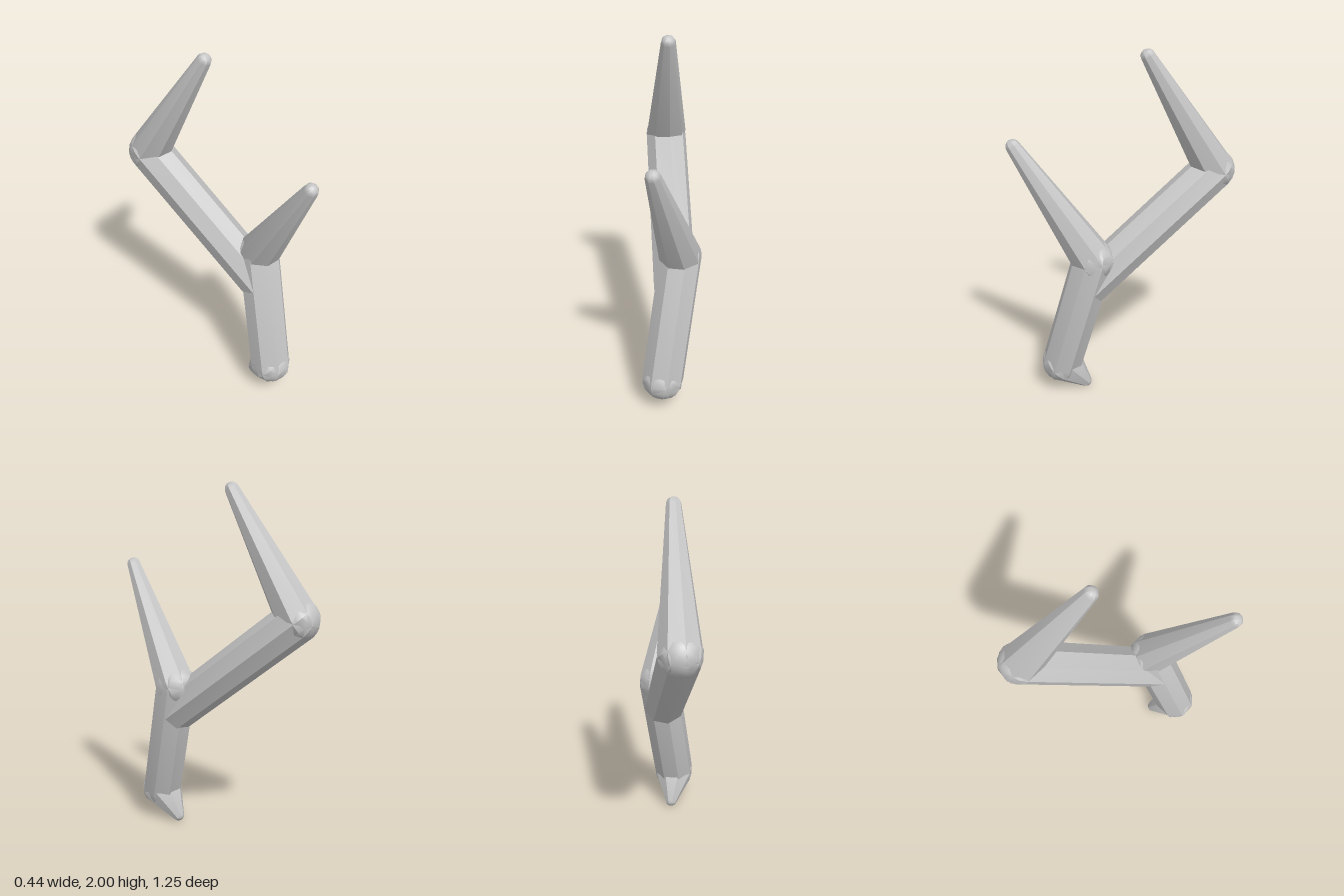
import * as THREE from 'three';
import { toCreasedNormals } from 'three/addons/utils/BufferGeometryUtils.js';

const SIDES = 8;
const CAP_STEPS = 5;

// Eight-sided rounded limb from a to b, tapering from radius r0 to r1
function limb(name, a, b, r0, r1, material) {
  const start = new THREE.Vector3(...a);
  const axis = new THREE.Vector3(...b).sub(start);
  const length = axis.length();
  const lean = Math.asin((r0 - r1) / length);
  const profile = [];
  const arc = (r, y, from, to) => {
    for (let i = 0; i <= CAP_STEPS; i++) {
      const t = from + (to - from) * i / CAP_STEPS;
      profile.push(new THREE.Vector2(Math.max(0, r * Math.cos(t)), y + r * Math.sin(t)));
    }
  };
  arc(r0, 0, -Math.PI / 2, lean);
  arc(r1, length, lean, Math.PI / 2);
  const lathe = new THREE.LatheGeometry(profile, SIDES, Math.PI / SIDES);
  const mesh = new THREE.Mesh(toCreasedNormals(lathe, 0.6), material);
  mesh.name = name;
  mesh.position.copy(start);
  mesh.quaternion.setFromUnitVectors(new THREE.Vector3(0, 1, 0), axis.normalize());
  return mesh;
}

export function createModel() {
  const grey = new THREE.MeshStandardMaterial({ color: 0xc4c4c4 });
  grey.name = 'light grey';

  // Joints of the branching form
  const foot = [0.05, 0.18, 0.37];
  const fork = [0.09, 0.69, 0.225];
  const frontElbow = [0.11, 0.87, 0.18];
  const backElbow = [-0.11, 1.305, -0.51];
  const R = 0.118, TIP = 0.04;

  const model = new THREE.Group();
  model.name = 'branch';
  model.add(
    limb('trunk', foot, frontElbow, R, R, grey),
    limb('rootTip', foot, [0.05, 0.036, 0.235], R, 0.036, grey),
    limb('frontTine', frontElbow, [0.05, 1.515, 0.585], R, TIP, grey),
    limb('backBranch', fork, backElbow, R, R, grey),
    limb('backTine', backElbow, [-0.02, 1.96, -0.125], R, TIP, grey),
  );
  return model;
}
